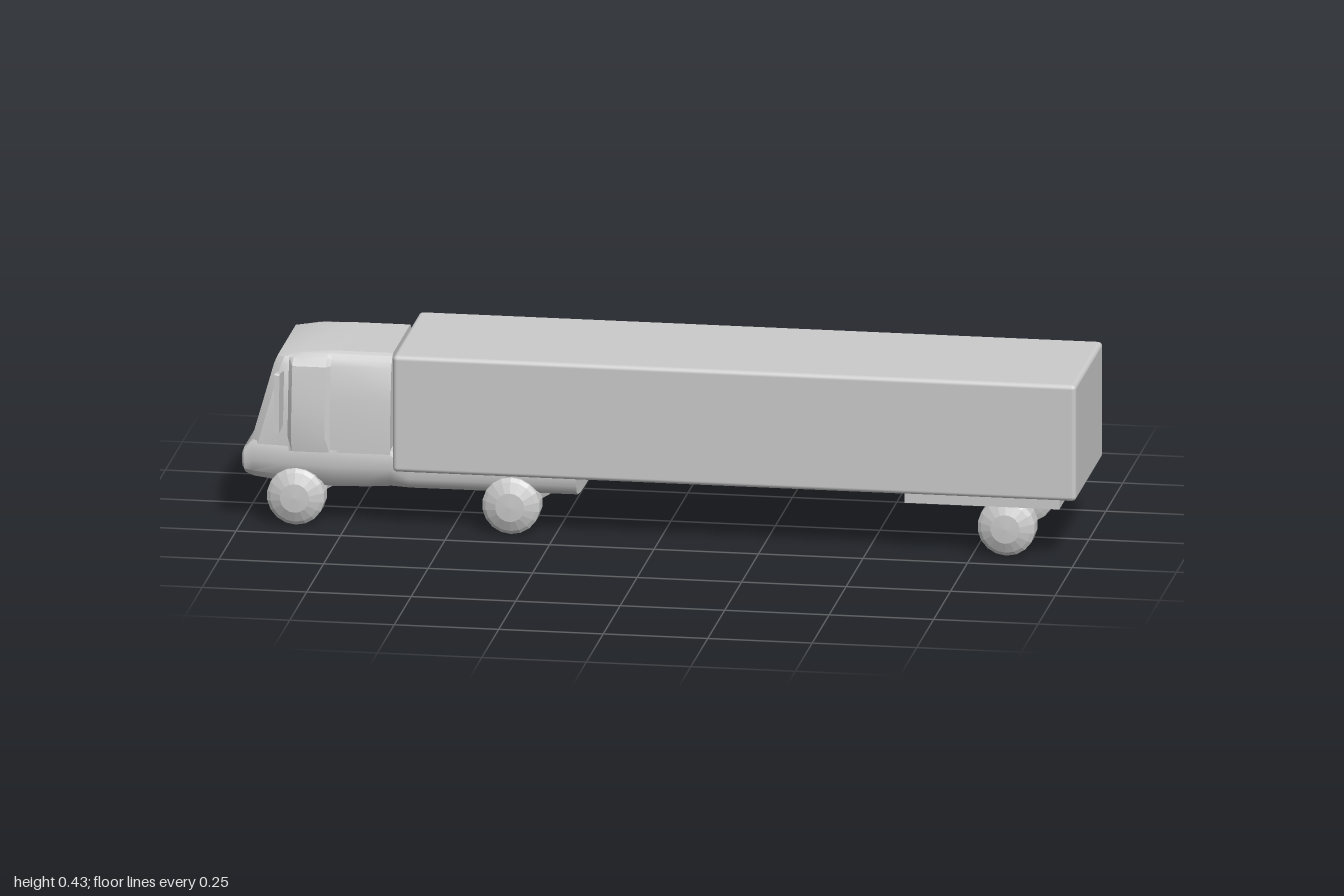
import * as THREE from 'three';
import { toCreasedNormals } from 'three/addons/utils/BufferGeometryUtils.js';
import { RoundedBoxGeometry } from 'three/addons/geometries/RoundedBoxGeometry.js';

const MID_Z = -0.005; // centre line of the truck

// Skin through equal-length closed rings of [x, y, z], capped at both ends
function loft(rings, crease = 0.6) {
  const n = rings[0].length;
  const pos = rings.flat(2);
  const idx = [];
  for (let j = 0; j < rings.length - 1; j++) {
    for (let i = 0; i < n; i++) {
      const k = (i + 1) % n;
      const a = j * n + i, b = j * n + k, c = a + n, d = b + n;
      idx.push(a, b, c, b, d, c);
    }
  }
  [0, rings.length - 1].forEach((j) => {
    const centre = pos.length / 3;
    for (let a = 0; a < 3; a++) pos.push(rings[j].reduce((s, p) => s + p[a], 0) / n);
    for (let i = 0; i < n; i++) {
      const a = j * n + i, b = j * n + (i + 1) % n;
      if (j === 0) idx.push(centre, b, a);
      else idx.push(centre, a, b);
    }
  });
  const g = new THREE.BufferGeometry();
  g.setAttribute('position', new THREE.Float32BufferAttribute(pos, 3));
  g.setIndex(idx);
  return toCreasedNormals(g, crease);
}

// Chassis section: flat top, sides curving in to a shallow belly
function chassisRing([x, top, bottom, w]) {
  const h = top - bottom;
  const half = [[0.97, top], [1, top - h * 0.1], [1, top - h * 0.45], [0.95, bottom + h * 0.28],
    [0.84, bottom + h * 0.11], [0.6, bottom + h * 0.03], [0.3, bottom]];
  const left = half.map(([f, y]) => [x, y, f * w]);
  const right = half.map(([f, y]) => [x, y, -f * w]).reverse();
  return [...left, ...right];
}

// Cab outline at one height, with a slightly raised door panel on each side
function cabRing([y, front, w, bulge]) {
  const half = [[front, w * 0.93], [front + 0.018, w], [-0.89, w], [-0.88, w + bulge],
    [-0.80, w + bulge], [-0.79, w], [-0.645, w]]
    .map(([x, z], i) => [Math.max(x, front + i * 0.004), z]);
  const left = half.map(([x, z]) => [x, y, z]);
  const right = half.map(([x, z]) => [x, y, -z]).reverse();
  return [...left, ...right];
}

export function createModel() {
  const truck = new THREE.Group();
  truck.name = 'truck';
  const smooth = new THREE.MeshStandardMaterial({ color: 0xcccccc });
  const faceted = new THREE.MeshStandardMaterial({ color: 0xcccccc, flatShading: true });
  const add = (name, geometry, x, y, z, material = smooth) => {
    const mesh = new THREE.Mesh(geometry, material);
    mesh.name = name;
    mesh.position.set(x, y, z);
    truck.add(mesh);
    return mesh;
  };

  // Cargo box and the plate carrying the rear axle
  add('cargoBox', new RoundedBoxGeometry(1.635, 0.285, 0.4, 3, 0.011), 0.1825, 0.2875, MID_Z);
  add('rearAxlePlate', new THREE.BoxGeometry(0.37, 0.024, 0.39), 0.775, 0.136, MID_Z);

  // Nose and chassis: x, top, bottom, half width
  const chassis = [
    [-1.0, 0.168, 0.122, 0.168], [-0.995, 0.182, 0.108, 0.174], [-0.975, 0.201, 0.096, 0.175],
    [-0.9, 0.2, 0.085, 0.175], [-0.78, 0.197, 0.077, 0.174], [-0.7, 0.195, 0.08, 0.173],
    [-0.645, 0.19, 0.085, 0.172], [-0.6, 0.15, 0.087, 0.172], [-0.2, 0.148, 0.088, 0.17],
  ];
  add('chassis', loft(chassis.map(chassisRing)), 0, 0, MID_Z);

  // Cab: height, front edge, half width, door bulge
  const cab = [
    [0.18, -0.982, 0.174, 0.004], [0.215, -0.974, 0.173, 0.01], [0.3, -0.95, 0.167, 0.012],
    [0.385, -0.927, 0.153, 0.012], [0.402, -0.92, 0.144, 0.006], [0.412, -0.87, 0.136, 0.001],
    [0.417, -0.79, 0.126, 0],
  ];
  add('cab', loft(cab.map(cabRing), 0.4), 0, 0, MID_Z);

  // Wheel: flat tread, shallow inner dome, faceted outer hub
  const wheelProfile = [[0, -0.037], [0.03, -0.036], [0.055, -0.031], [0.067, -0.027],
    [0.069, -0.02], [0.069, 0.024], [0.06, 0.031], [0.035, 0.042], [0, 0.044]]
    .map(([r, d]) => new THREE.Vector2(r, d));
  const wheelGeometry = new THREE.LatheGeometry(wheelProfile, 18);
  const axles = { front: -0.87, middle: -0.355, rear: 0.83 };

  // Mirror plate, leaning outwards toward its lower end
  const mirrorShape = new THREE.Shape([[0.15, 0.37], [0.217, 0.381], [0.221, 0.377],
    [0.228, 0.238], [0.218, 0.236], [0.15, 0.245]].map(([z, y]) => new THREE.Vector2(z, y)));
  const mirrorGeometry = new THREE.ExtrudeGeometry(mirrorShape, { depth: 0.012, bevelEnabled: false });
  mirrorGeometry.translate(0, 0, -0.006);

  for (const side of [1, -1]) {
    const label = side > 0 ? 'Left' : 'Right';
    for (const [axle, x] of Object.entries(axles)) {
      const wheel = add(`${axle}Wheel${label}`, wheelGeometry, x, 0.069, side * 0.148, faceted);
      wheel.rotation.x = side * Math.PI / 2;
    }
    const mirror = add(`mirror${label}`, mirrorGeometry, -0.907, 0, 0);
    mirror.rotation.y = -side * Math.PI / 2;
  }
  return truck;
}
